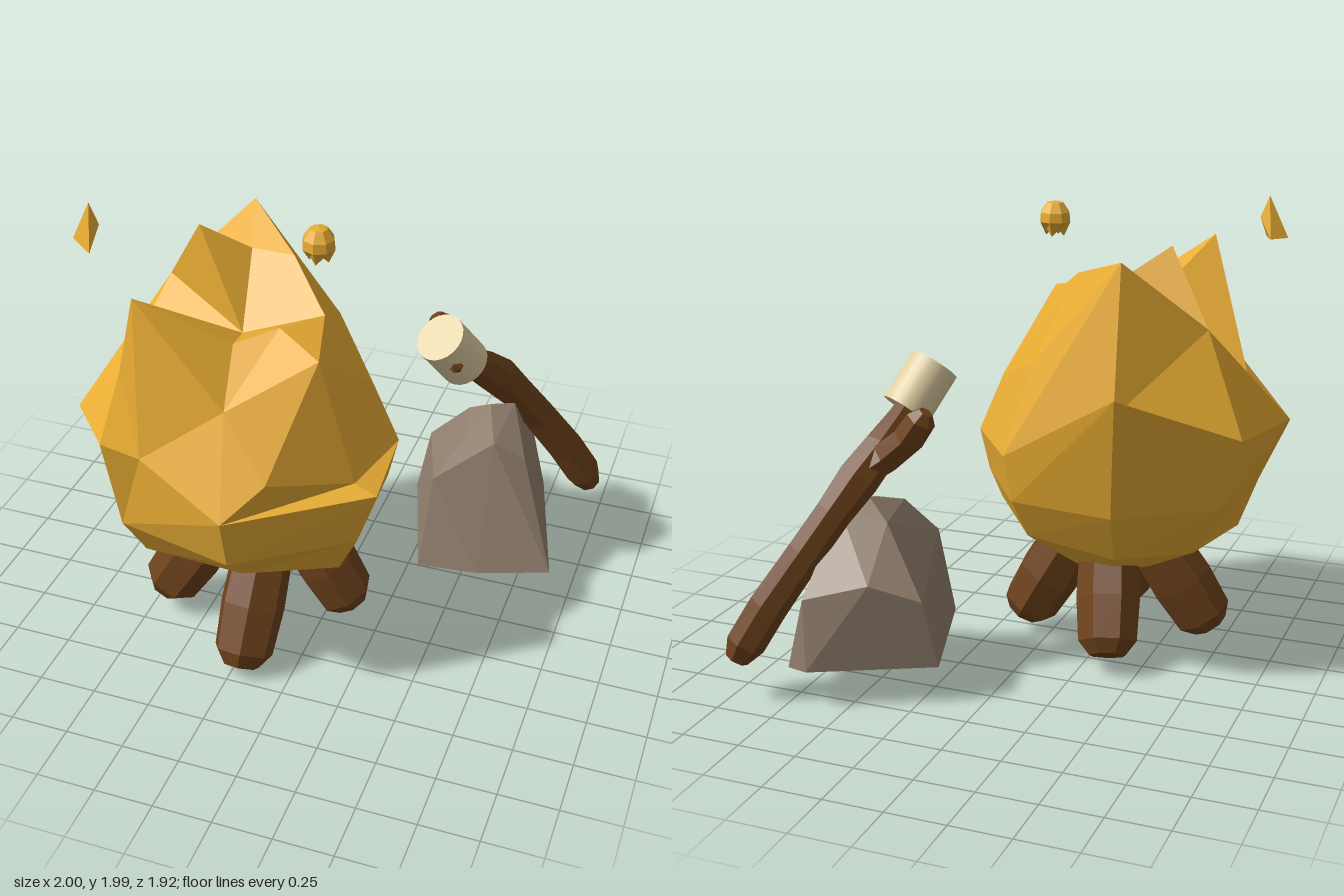
import * as THREE from 'three';
import { ConvexGeometry } from 'three/addons/geometries/ConvexGeometry.js';

const V = (x, y, z) => new THREE.Vector3(x, y, z);
const flat = (color) => new THREE.MeshStandardMaterial({ color, flatShading: true });
const flameMat = flat(0xe8ac33);
flameMat.side = THREE.DoubleSide;
const woodMat = flat(0x6e421b);
const rockMat = flat(0x92806e);
const marshmallowMat = new THREE.MeshStandardMaterial({ color: 0xe0cfa2 });

function mesh(name, geometry, material) {
  const m = new THREE.Mesh(geometry, material);
  m.name = name;
  return m;
}

// Joins rings of points, listed bottom to top and counterclockwise from above
function skin(rings) {
  const pos = [];
  const tri = (a, b, c) => {
    if (a.equals(b) || b.equals(c) || a.equals(c)) return;
    for (const p of [a, b, c]) pos.push(p.x, p.y, p.z);
  };
  for (let r = 0; r < rings.length - 1; r++) {
    const lo = rings[r], hi = rings[r + 1], n = lo.length;
    for (let i = 0; i < n; i++) {
      const j = (i + 1) % n;
      tri(lo[i], lo[j], hi[j]);
      tri(lo[i], hi[j], hi[i]);
    }
  }
  const g = new THREE.BufferGeometry();
  g.setAttribute('position', new THREE.Float32BufferAttribute(pos, 3));
  g.computeVertexNormals();
  return g;
}

// Sweeps a polygon along a curve; stations are [position along curve, radius]
function sweep(curve, stations, sides) {
  const n = 100, frames = curve.computeFrenetFrames(n);
  return skin(stations.map(([t, r]) => {
    const k = Math.round(t * n), c = curve.getPointAt(t);
    return Array.from({ length: sides }, (_, i) => {
      const a = (i / sides) * Math.PI * 2;
      return c.clone()
        .addScaledVector(frames.normals[k], r * Math.cos(a))
        .addScaledVector(frames.binormals[k], r * Math.sin(a));
    });
  }));
}

// Eight corners go round the flame from the front; some columns repeat a corner
// so that facets can split along ridges, ledges and notches
function makeFlame() {
  const columns = [0, 0, 1, 2, 3, 4, 4, 5, 5, 6, 6, 7, 7, 7];
  const spread = (list) => columns.map((i) => V(...list[i]));
  const under = spread([
    [-0.18, 0.55, 0.69], [0.17, 0.53, 0.5], [0.21, 0.64, 0.15], [-0.04, 0.6, -0.18],
    [-0.43, 0.55, -0.2], [-0.71, 0.55, 0], [-0.8, 0.55, 0.4], [-0.62, 0.55, 0.67]]);
  const hub = V(-0.28, 0.39, 0.28);
  const bottom = under.map((p) => p.clone().lerp(hub, 0.55).setY(0.4));
  const belly = spread([
    [-0.15, 0.77, 0.91], [0.28, 0.77, 0.6], [0.26, 0.77, 0.13], [0, 0.77, -0.26],
    [-0.45, 0.77, -0.32], [-0.83, 0.77, -0.05], [-0.88, 0.77, 0.42], [-0.65, 0.77, 0.8]]);
  // Widest ring, with flicked-out tips
  const rim = spread([
    [-0.15, 1, 0.96], [0.36, 1.01, 0.6], [0.3, 0.95, 0.12], [0.03, 0.97, -0.28],
    [-0.5, 1.3, -0.45], [-0.92, 1.08, -0.08], [-1, 1.04, 0.44], [-0.69, 1.18, 0.85]]);
  rim[12] = rim[13] = V(-0.53, 1.14, 0.84);
  // Ledges behind the tips
  const ledge = rim.map((p) => p.clone());
  ledge[1] = V(0, 1.15, 0.86);
  ledge[2] = V(0.26, 1.03, 0.57);
  ledge[5] = ledge[6] = V(-0.46, 1.2, -0.33);
  // Tongues of flame, with a deep notch at the left front
  const tongues = spread([
    [-0.2, 1.38, 0.76], [0.1, 1.53, 0.53], [0.19, 1.21, 0.13], [-0.05, 1.34, -0.15],
    [-0.44, 1.79, -0.2], [-0.74, 1.5, 0.02], [-0.82, 1.22, 0.4], [-0.82, 1.22, 0.4]]);
  tongues[9] = tongues[8];
  tongues[13] = V(-0.58, 1.77, 0.7);
  // Hollow between the tongues
  const middle = [-0.32, 1.43, 0.27];
  const inner = spread([
    [-0.25, 1.54, 0.53], [-0.1, 1.58, 0.42], [0.01, 1.54, 0.21], [-0.18, 1.69, 0.04],
    [-0.37, 1.68, 0.02], [-0.55, 1.81, 0.13], middle, middle]);
  inner[5] = inner[4];
  inner[7] = inner[6];
  inner[9] = inner[8];
  return mesh('flame', skin([columns.map(() => hub), bottom, under, belly, rim, ledge,
    tongues, inner, columns.map(() => V(...middle))]), flameMat);
}

function makeRoundEmber() {
  const ring = (r, y, jag = 0) => Array.from({ length: 8 }, (_, i) => {
    const a = (i / 8) * Math.PI * 2;
    return V(r * Math.sin(a), y + (i % 2) * jag, r * Math.cos(a));
  });
  const g = skin([ring(0, 1.84), ring(0.04, 1.8, 0.03), ring(0.068, 1.86),
    ring(0.064, 1.9), ring(0.036, 1.94), ring(0, 1.948)]);
  g.translate(0, 0, 0.245);
  return mesh('roundEmber', g, flameMat);
}

export function createModel() {
  const group = new THREE.Group();
  group.name = 'campfire';
  group.add(makeFlame(), makeRoundEmber());

  // Pointed ember
  group.add(mesh('pointedEmber', new ConvexGeometry([
    V(-0.96, 1.82, 0.42), V(-0.9, 1.82, 0.355), V(-0.85, 1.81, 0.5), V(-0.84, 1.9, 0.42),
    V(-0.875, 1.99, 0.425)]), flameMat));

  // Leaning logs: foot, then top
  const logs = new THREE.Group();
  logs.name = 'logs';
  const logShape = [[0, 0], [0, 0.08], [0.12, 0.128], [0.5, 0.14], [0.88, 0.132], [1, 0.08], [1, 0]];
  [
    [V(-0.21, 0.04, 0.69), V(-0.2, 0.49, 0.4)],
    [V(-0.7, 0.08, 0.36), V(-0.45, 0.49, 0.29)],
    [V(0.12, 0.085, 0.19), V(-0.11, 0.49, 0.21)],
    [V(-0.38, 0.08, -0.12), V(-0.3, 0.49, 0.13)],
  ].forEach(([foot, top]) => {
    logs.add(mesh('log', sweep(new THREE.LineCurve3(foot, top), logShape, 7), woodMat));
  });
  group.add(logs);

  // Faceted boulder
  group.add(mesh('rock', new ConvexGeometry([
    V(0.35, 0.16, -0.06), V(0.61, 0.16, -0.09), V(0.92, 0.16, -0.2), V(0.74, 0.16, -0.86),
    V(0.65, 0.16, -0.88), V(0.17, 0.16, -0.64),
    V(0.22, 0.45, -0.68), V(0.375, 0.57, -0.17), V(0.74, 0.64, -0.35), V(0.41, 0.53, -0.78),
    V(0.67, 0.46, -0.85),
    V(0.48, 0.73, -0.28), V(0.61, 0.73, -0.29), V(0.54, 0.8, -0.49), V(0.63, 0.77, -0.58),
    V(0.43, 0.72, -0.55)]), rockMat));

  // Forked roasting stick
  const stick = new THREE.Group();
  stick.name = 'roastingStick';
  const main = new THREE.CatmullRomCurve3([
    V(0.955, 0.18, -0.905), V(0.87, 0.35, -0.85), V(0.715, 0.61, -0.745), V(0.555, 0.89, -0.58),
    V(0.475, 1.05, -0.41), V(0.445, 1.17, -0.26)]);
  stick.add(mesh('stickShaft', sweep(main, [[0, 0], [0, 0.05], [0.06, 0.083], [0.2, 0.083],
    [0.4, 0.078], [0.55, 0.078], [0.68, 0.09], [0.8, 0.08], [0.92, 0.06], [1, 0.05], [1, 0]],
  7), woodMat));
  const fork = new THREE.CatmullRomCurve3([
    V(0.55, 0.91, -0.55), V(0.43, 1.0, -0.5), V(0.34, 1.08, -0.51), V(0.265, 1.195, -0.51)]);
  stick.add(mesh('stickFork', sweep(fork, [[0, 0], [0, 0.065], [0.3, 0.072], [0.65, 0.067],
    [0.9, 0.062], [1, 0.03], [1, 0]], 6), woodMat));
  group.add(stick);

  // Marshmallow on the tip, with the stick end poking through its side
  const low = V(0.462, 1.125, -0.283), high = V(0.382, 1.3, -0.165);
  const marshmallow = mesh('marshmallow',
    new THREE.CylinderGeometry(0.108, 0.108, low.distanceTo(high), 24), marshmallowMat);
  marshmallow.position.copy(low).lerp(high, 0.5);
  marshmallow.quaternion.setFromUnitVectors(V(0, 1, 0), high.clone().sub(low).normalize());
  const tip = mesh('stickTip', new THREE.IcosahedronGeometry(0.038, 0), woodMat);
  tip.position.set(0.46, 1.195, -0.143);
  group.add(marshmallow, tip);

  return group;
}
